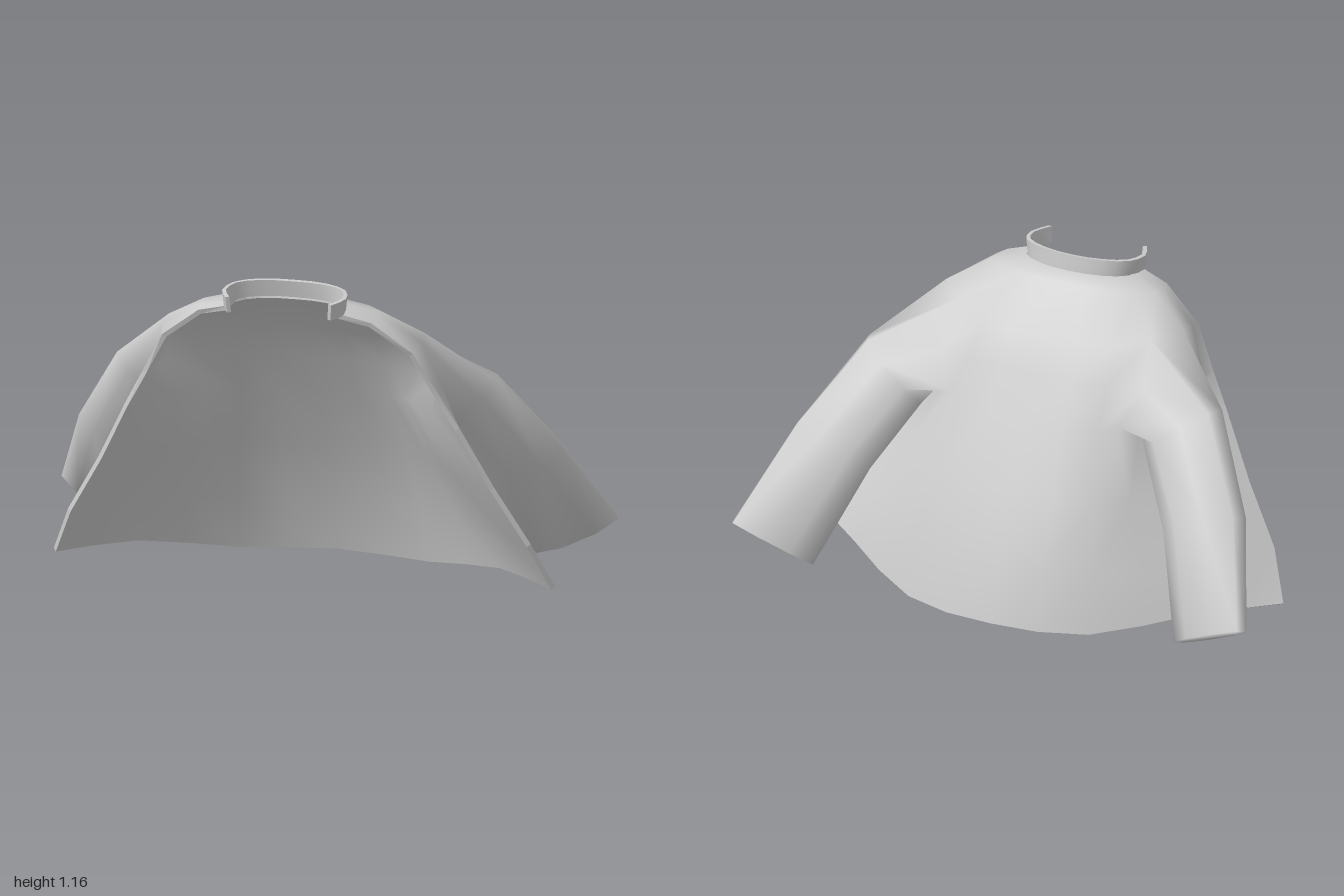
import * as THREE from 'three';

const material = new THREE.MeshStandardMaterial({ color: 0xcccccc, side: THREE.DoubleSide });

function mesh(name, points, index, flat) {
  let geo = new THREE.BufferGeometry().setFromPoints(points);
  geo.setIndex(index);
  if (flat) geo = geo.toNonIndexed();
  geo.computeVertexNormals();
  const m = new THREE.Mesh(geo, material);
  m.name = name;
  return m;
}

// Makes cloth: outer face, inset lining and a rim along every open edge of the lining
function cloth(name, points, index, liningIndex, thickness) {
  const group = new THREE.Group();
  group.name = name;
  const outer = mesh(name + 'Outside', points, index);
  const normals = outer.geometry.attributes.normal;
  const inner = points.map((p, i) =>
    p.clone().addScaledVector(new THREE.Vector3().fromBufferAttribute(normals, i), -thickness));

  const edges = new Set();
  for (let i = 0; i < liningIndex.length; i += 3)
    for (let k = 0; k < 3; k++) edges.add(liningIndex[i + k] + '_' + liningIndex[i + (k + 1) % 3]);
  const rim = [], n = points.length;
  for (const e of edges) {
    const [a, b] = e.split('_').map(Number);
    if (!edges.has(b + '_' + a)) rim.push(b, a, a + n, b, a + n, b + n);
  }
  group.add(outer,
    mesh(name + 'Lining', inner, [...liningIndex].reverse()),
    mesh(name + 'Rim', [...points, ...inner], rim, true));
  return group;
}

// Smooth row from the left front edge around the back to the right front edge
function row(half, segments) {
  const left = half.map(p => new THREE.Vector3(...p));
  const right = left.slice(0, -1).reverse().map(p => new THREE.Vector3(-p.x, p.y, p.z));
  const curve = new THREE.CatmullRomCurve3([...left, ...right]);
  return Array.from({ length: segments + 1 }, (_, i) => curve.getPoint(i / segments));
}

function grid(rows, skip = () => false) {
  const w = rows[0].length, index = [];
  for (let r = 0; r < rows.length - 1; r++)
    for (let c = 0; c < w - 1; c++) {
      if (skip(r, c)) continue;
      const a = r * w + c, b = a + w;
      index.push(a, b, a + 1, b, b + 1, a + 1);
    }
  return index;
}

// Half rows, neck to hem: front edge, side (pinched in under the arm), back, centre back
const bodyRows = [
  [[.2, 1.09, .37], [.2, 1.095, .28], [.12, 1.1, .225], [0, 1.1, .21]],
  [[.31, 1.06, .35], [.32, 1.07, .24], [.18, 1.08, .165], [0, 1.08, .15]],
  [[.45, .95, .315], [.46, .985, .18], [.25, .93, .04], [0, .93, .02]],
  [[.53, .8, .275], [.48, .8, .09], [.27, .81, -.03], [0, .81, -.04]],
  [[.6, .67, .245], [.38, .69, .005], [.27, .67, -.1], [0, .66, -.125]],
  [[.71, .45, .195], [.49, .45, -.025], [.31, .44, -.2], [0, .43, -.24]],
  [[.83, .24, .15], [.62, .23, -.085], [.34, .21, -.28], [0, .2, -.345]],
  [[.9, .07, .08], [.66, .065, -.13], [.35, .005, -.33], [0, .005, -.4]],
];

// Sleeve rings: centre, long half axis, short half axis
const sleeveRings = [
  [[.56, .7, -.015], [.125, .085, .05], [.02, .045, -.07]],
  [[.72, .44, -.17], [.15, .05, .02], [.03, .045, -.07]],
  [[.85, .125, -.385], [.149, .057, -.014], [.035, .042, -.057]],
];

function jacket() {
  const W = 13;
  const rows = bodyRows.map(r => row(r, W - 1));
  const points = rows.flat();
  // Two-by-two armholes are left open on each side of the outer face
  const index = grid(rows, (r, c) => (r === 2 || r === 3) && [1, 2, 9, 10].includes(c));

  // Sleeves grow from the armhole border and are closed at the cuff
  const border = [[2, 1], [2, 2], [2, 3], [3, 3], [4, 3], [4, 2], [4, 1], [3, 1]];
  for (const side of [1, -1]) {
    const face = (a, b, c) => side > 0 ? index.push(a, b, c) : index.push(b, a, c);
    let loop = border.map(([r, c]) => r * W + (side > 0 ? c : W - 1 - c));
    for (const [centre, u, v] of sleeveRings) {
      const next = loop.map((_, i) => {
        const t = (i - 1) * Math.PI / 4;
        const p = centre.map((q, k) => q + u[k] * Math.cos(t) + v[k] * Math.sin(t));
        return points.push(new THREE.Vector3(side * p[0], p[1], p[2])) - 1;
      });
      loop.forEach((a, i) => {
        const j = (i + 1) % 8;
        face(loop[j], a, next[i]);
        face(loop[j], next[i], next[j]);
      });
      loop = next;
    }
    for (let i = 1; i < 7; i++) face(loop[0], loop[i + 1], loop[i]);
  }
  return cloth('jacketWithSleeves', points, index, grid(rows), .018);
}

// Upright collar band with short tabs reaching past the front edges
function collar() {
  const top = [[.19, 1.14, .435], [.222, 1.143, .36], [.2, 1.15, .28], [.12, 1.155, .235], [0, 1.155, .22]];
  const bottom = [[.185, 1.083, .43], [.215, 1.083, .36], [.195, 1.09, .28], [.12, 1.095, .228], [0, 1.095, .21]];
  const rows = [row(top, 16), row(bottom, 16)];
  return cloth('collar', rows.flat(), grid(rows), grid(rows), .014);
}

export function createModel() {
  const model = new THREE.Group();
  model.name = 'openJacket';
  model.add(jacket(), collar());
  return model;
}
